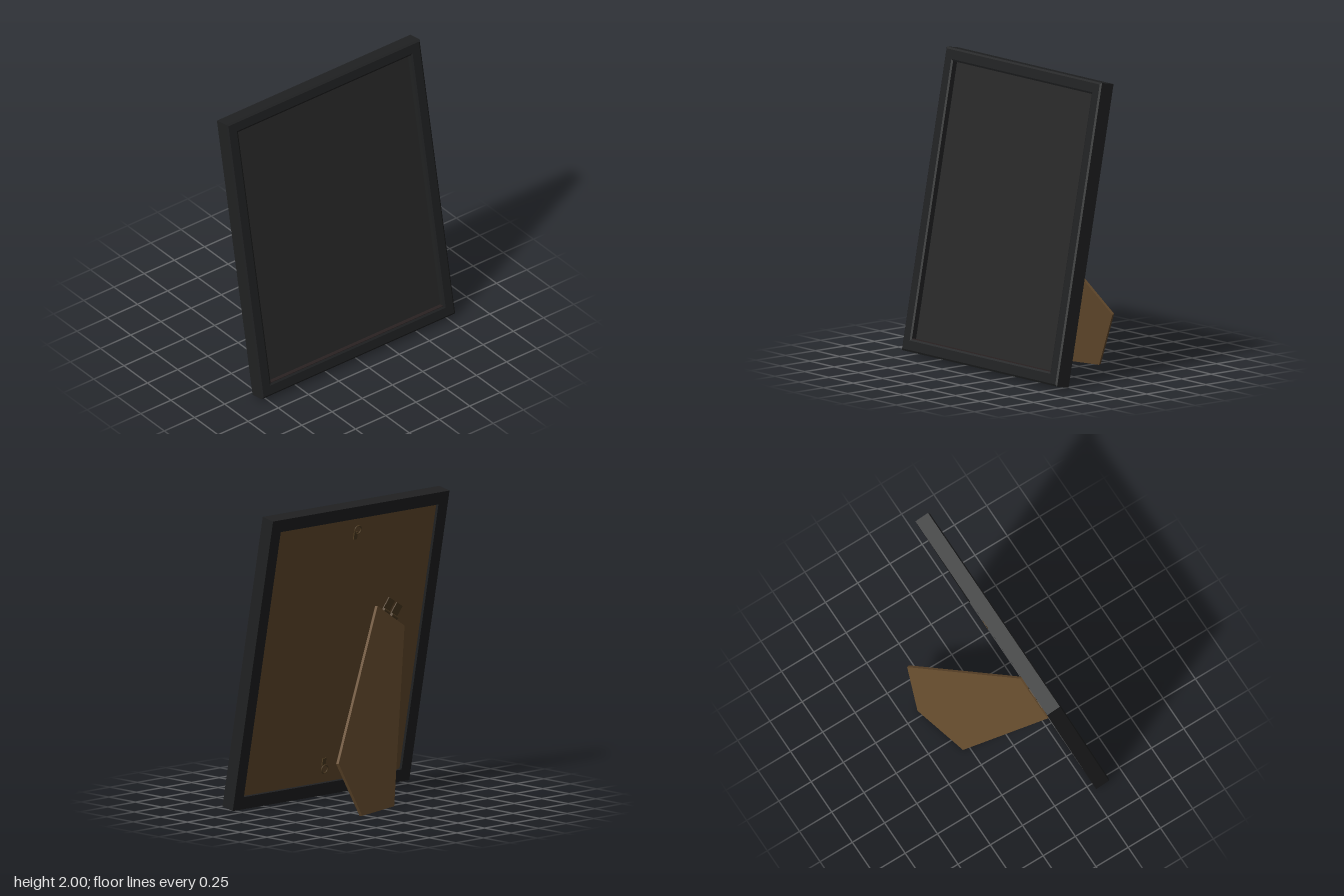
import * as THREE from 'three';
import { toCreasedNormals } from 'three/addons/utils/BufferGeometryUtils.js';

const WIDTH = 1.6, HEIGHT = 2.011, BAR = 0.085;

// Mitred moulding: a closed profile of [inset, depth] swept round the rectangle
function mitredFrame(profile) {
  const corners = [[-1, -1], [1, -1], [1, 1], [-1, 1]];
  const at = ([inset, depth], [sy, sz]) => [
    depth,
    HEIGHT / 2 + sy * (HEIGHT / 2 - inset),
    sz * (WIDTH / 2 - inset),
  ];
  const pos = [];
  corners.forEach((c0, k) => {
    const c1 = corners[(k + 1) % 4];
    profile.forEach((p, j) => {
      const q = profile[(j + 1) % profile.length];
      const a = at(p, c0), b = at(q, c0), c = at(q, c1), d = at(p, c1);
      pos.push(...a, ...b, ...c, ...a, ...c, ...d);
    });
  });
  const g = new THREE.BufferGeometry();
  g.setAttribute('position', new THREE.Float32BufferAttribute(pos, 3));
  g.computeVertexNormals();
  return toCreasedNormals(g, 0.3);
}

// Flat plate through planar 3D points, thickened away from its outer face
function plateGeometry(points, thickness) {
  const [a, b] = points;
  const e = points[points.length - 1];
  const u = e.clone().sub(a).normalize();
  const n = b.clone().sub(a).cross(u).normalize();
  const v = n.clone().cross(u);
  const shape = new THREE.Shape(points.map((p) => {
    const d = p.clone().sub(a);
    return new THREE.Vector2(d.dot(u), d.dot(v));
  }));
  const g = new THREE.ExtrudeGeometry(shape, { depth: thickness, bevelEnabled: false });
  const m = new THREE.Matrix4().makeBasis(u, v, n);
  m.setPosition(a.clone().addScaledVector(n, -thickness));
  return g.applyMatrix4(m);
}

export function createModel() {
  const mat = (name, color) => {
    const m = new THREE.MeshStandardMaterial({ color });
    m.name = name;
    return m;
  };
  const black = mat('frame black', 0x202122);
  const charcoal = mat('panel charcoal', 0x282828);
  const brown = mat('board brown', 0x664c2e);
  const metal = mat('aged brass', 0x4f3c22);
  const lipColor = mat('lip dark brown', 0x2a2222);

  const model = new THREE.Group();
  model.name = 'pictureFrame';
  const add = (parent, name, geometry, material, x = 0, y = 0, z = 0) => {
    const mesh = new THREE.Mesh(geometry, material);
    mesh.name = name;
    mesh.position.set(x, y, z);
    parent.add(mesh);
    return mesh;
  };
  const group = (parent, name, x, y, z) => {
    const g = new THREE.Group();
    g.name = name;
    g.position.set(x, y, z);
    parent.add(g);
    return g;
  };

  // Leaning frame: local x is depth from back to front, facing +x
  const frame = group(model, 'leaningFrame', 0.29, 0.01, 0);
  frame.rotation.z = Math.atan2(0.38, 1.975);

  add(frame, 'moulding', mitredFrame([
    [0, 0], [BAR, 0], [BAR, 0.1], [BAR - 0.012, 0.107], [0.012, 0.107], [0, 0.099],
  ]), black);

  // Front panel and back board inside the moulding
  const innerH = HEIGHT - 2 * BAR, innerW = WIDTH - 2 * BAR;
  add(frame, 'frontPanel', new THREE.BoxGeometry(0.02, innerH, innerW), charcoal, 0.055, HEIGHT / 2, 0);
  add(frame, 'backBoard', new THREE.BoxGeometry(0.02, innerH, innerW), brown, 0.03, HEIGHT / 2, 0);
  add(frame, 'lowerLip', new THREE.BoxGeometry(0.034, 0.004, innerW), lipColor, 0.082, BAR + 0.002, 0);

  // Hanging hooks, one near each end of the board
  for (const [name, y, dir] of [['upperHook', 1.83, 1], ['lowerHook', 0.2, -1]]) {
    const hook = group(frame, name, 0.016, y, 0);
    add(hook, 'hookPlate', new THREE.BoxGeometry(0.008, 0.05, 0.03), metal, 0, -0.03 * dir, 0);
    const ring = add(hook, 'hookRing', new THREE.TorusGeometry(0.028, 0.005, 6, 20), metal, -0.016, 0.016 * dir, 0);
    ring.rotation.y = Math.PI / 2;
    ring.rotation.x = 0.25 * dir;
  }

  // Hinge joining the stand to the board
  const hinge = group(frame, 'hinge', 0.004, 1.205, 0.415);
  hinge.rotation.x = Math.atan2(0.17, 0.29);
  for (const side of [-1, 1]) {
    add(hinge, 'hingeLeaf', new THREE.BoxGeometry(0.008, 0.085, 0.065), metal, 0.012, 0.045, side * 0.045);
    const barrel = add(hinge, 'hingeBarrel', new THREE.CylinderGeometry(0.012, 0.012, 0.065, 12), metal, 0.002, 0, side * 0.045);
    barrel.rotation.x = Math.PI / 2;
  }

  // Splayed easel stand
  add(model, 'easelStand', plateGeometry([
    new THREE.Vector3(-0.365, 0.37, -0.47),
    new THREE.Vector3(-0.4, 0.005, -0.29),
    new THREE.Vector3(-0.297, 0.005, 0.1),
    new THREE.Vector3(0.065, 1.1, 0.55),
    new THREE.Vector3(0.037, 1.27, 0.27),
  ], 0.02), brown);

  return model;
}
